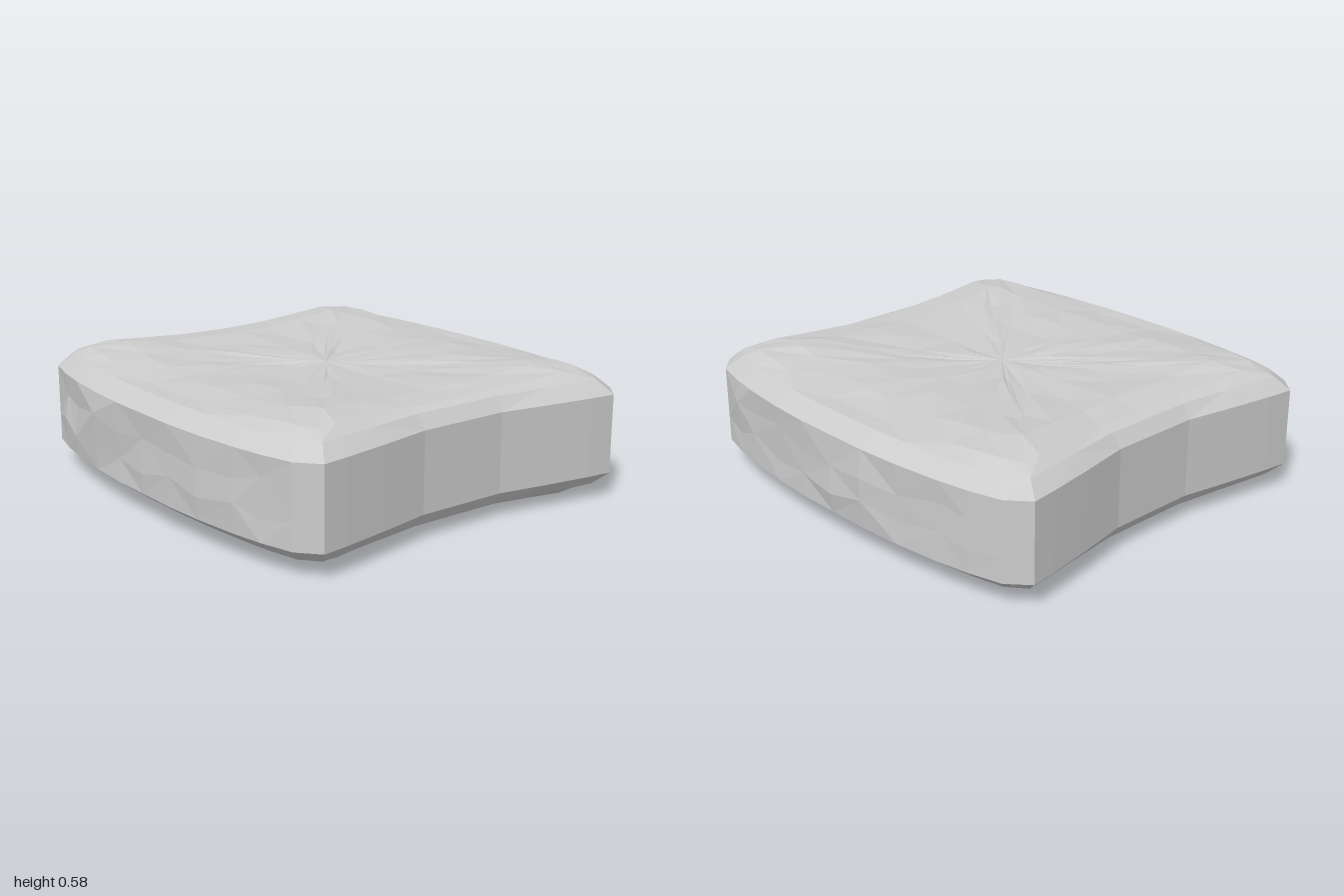
import * as THREE from 'three';

const MID = 0.2975; // mirror height between upper and lower halves

// Quarter outlines from the +x axis round to the +z axis: [x, z]
const EDGE = [[0.905, 0], [0.905, 0.21], [0.95, 0.45], [0.985, 0.66], [1, 0.78], [0.91, 0.86],
  [0.76, 0.9], [0.62, 0.925], [0.4, 0.95], [0.2, 0.962], [0, 0.962]];
const RIM = [[0.82, 0], [0.822, 0.23], [0.84, 0.45], [0.86, 0.62], [0.87, 0.7], [0.8, 0.745],
  [0.68, 0.765], [0.53, 0.78], [0.36, 0.79], [0.18, 0.8], [0, 0.805]];

// Mirror a quarter outline into a closed loop
function fullLoop(q) {
  const fwd = q.slice(0, -1), back = q.slice(1).reverse();
  const flip = (list, sx, sz) => list.map(([x, z]) => [x * sx, z * sz]);
  return [...flip(fwd, 1, 1), ...flip(back, -1, 1), ...flip(fwd, -1, -1), ...flip(back, 1, -1)];
}

// Small seeded noise in -1..1
function noise(i, j) {
  const s = Math.sin(i * 127.1 + j * 311.7) * 43758.5453;
  return (s - Math.floor(s)) * 2 - 1;
}

// Gently dished top face, highest near the four corners
function topHeight(x, z) {
  const X = Math.min(1, Math.abs(x) / 0.76) ** 2;
  const Z = Math.min(1, Math.abs(z) / 0.6) ** 2;
  const drop = Math.max(0, Math.abs(x) - 0.76) * 0.2 + Math.max(0, Math.abs(z) - 0.6) * 0.12;
  return 0.54 + 0.018 * X + 0.015 * Z + 0.019 * X * Z - drop;
}

function slabGeometry() {
  const edge = fullLoop(EDGE), rim = fullLoop(RIM), n = edge.length;
  const rings = [];

  // Cap rings, centre outwards, then the bevel; side = 1 top, -1 bottom
  const capRings = (side) => {
    const out = [0.2, 0.42, 0.62, 0.82, 1].map((s, k) => rim.map(([x, z], i) => {
      const px = x * s, pz = z * s;
      const y = topHeight(px, pz) + (k < 4 ? 0.007 * noise(i, k + side * 9) : 0);
      return [px, MID + side * (y - MID), pz];
    }));
    // rounded shoulder between rim and wall
    out.push(edge.map(([x, z], i) => {
      const px = x * 0.5 + rim[i][0] * 0.5, pz = z * 0.5 + rim[i][1] * 0.5;
      return [px, MID + side * (0.532 - MID), pz];
    }));
    out.push(edge.map(([x, z]) => [x, MID + side * (0.473 - MID), z]));
    return out;
  };

  rings.push(...capRings(-1));
  // Rough, bulging front and back walls; plain side walls
  [0.24, 0.36].forEach((y, k) => rings.push(edge.map(([x, z], i) => {
    const rough = Math.abs(z) > 0.88 ? 1 : 0;
    return [x, y + rough * 0.03 * noise(i, k + 40),
      z + Math.sign(z) * rough * (0.004 + 0.014 * noise(i, k + 50))];
  })));
  rings.push(...capRings(1).reverse());

  const pos = [0, MID * 2 - 0.54, 0, ...rings.flat(2), 0, 0.54, 0];
  const last = pos.length / 3 - 1;
  const at = (r, i) => 1 + r * n + (i % n);
  const index = [];
  for (let i = 0; i < n; i++) {
    index.push(0, at(0, i), at(0, i + 1));
    for (let r = 0; r < rings.length - 1; r++) {
      const a = at(r, i), b = at(r, i + 1), c = at(r + 1, i), d = at(r + 1, i + 1);
      if ((i + r) % 2) index.push(a, c, b, b, c, d);
      else index.push(a, c, d, a, d, b);
    }
    index.push(at(rings.length - 1, i), last, at(rings.length - 1, i + 1));
  }
  const geo = new THREE.BufferGeometry();
  geo.setAttribute('position', new THREE.Float32BufferAttribute(pos, 3));
  geo.setIndex(index);
  geo.computeBoundingBox();
  geo.translate(0, -geo.boundingBox.min.y, 0);
  const flat = geo.toNonIndexed();
  flat.computeVertexNormals();
  return flat;
}

export function createModel() {
  const group = new THREE.Group();
  group.name = 'stoneSlab';
  const material = new THREE.MeshStandardMaterial({ color: 0xcccccc, flatShading: true });
  const slab = new THREE.Mesh(slabGeometry(), material);
  slab.name = 'slab';
  group.add(slab);
  return group;
}
